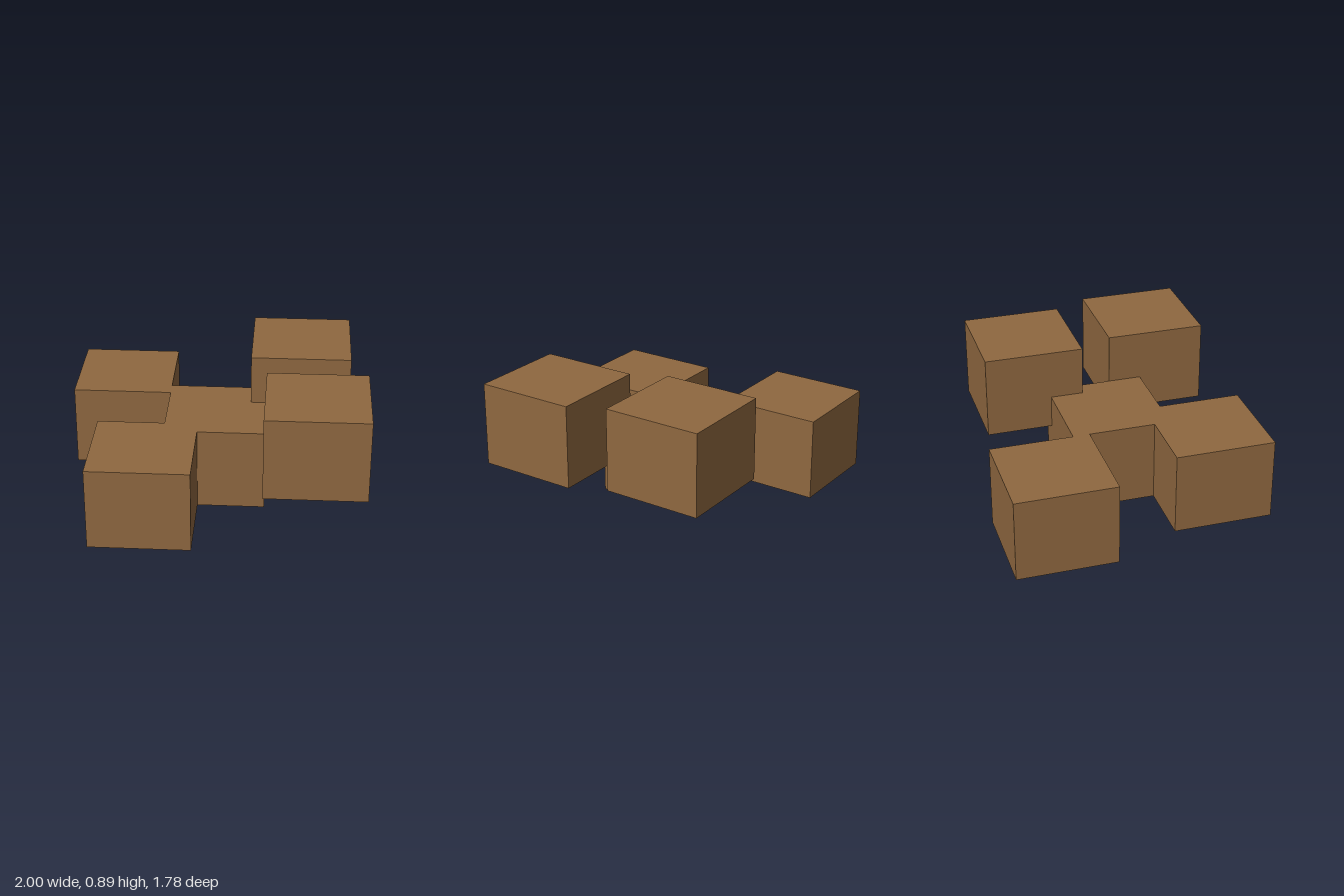
import * as THREE from 'three';

export function createModel() {
  const model = new THREE.Group();
  model.name = 'blockCluster';

  const brown = new THREE.MeshStandardMaterial({ color: 0x8f6840 });
  brown.name = 'brown';

  // every block is 6 x 5 x 6 units on a grid of ninths
  const unit = 1 / 9;
  const block = new THREE.BoxGeometry(6 * unit, 5 * unit, 6 * unit);

  // name, then centre x, base y and centre z in grid units
  const blocks = [
    ['centreBlock', 0, 0, 0],
    ['backRightBlock', -6, 0, -5],
    ['frontRightBlock', -4, 0, 5],
    ['raisedBackLeftBlock', 5, 3, -4],
    ['raisedFrontLeftBlock', 6, 3, 4],
  ];
  for (const [name, x, y, z] of blocks) {
    const mesh = new THREE.Mesh(block, brown);
    mesh.name = name;
    mesh.position.set(x, y + 2.5, z).multiplyScalar(unit);
    model.add(mesh);
  }
  return model;
}
